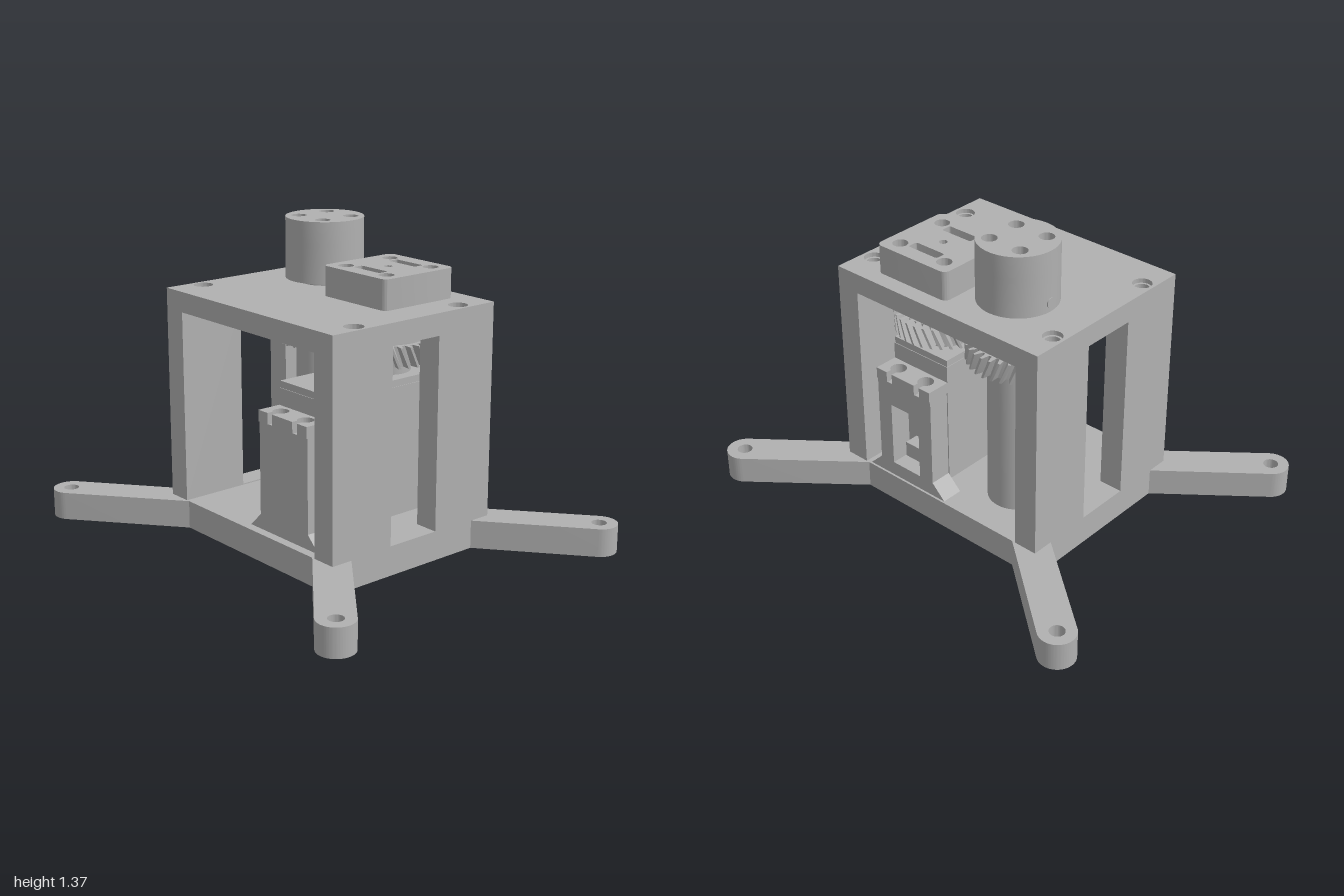
import * as THREE from 'three';
import { toCreasedNormals } from 'three/addons/utils/BufferGeometryUtils.js';

const AXLE_Z = -0.17, ROLLER_X = -0.215, SERVO_X = 0.195;

export function createModel() {
  const model = new THREE.Group();
  model.name = 'gearedTurntableStand';
  const grey = new THREE.MeshStandardMaterial({ color: 0xb0b0b0 });
  grey.name = 'plain grey';

  function add(name, geometry, x = 0, y = 0, z = 0, parent = model) {
    const mesh = new THREE.Mesh(toCreasedNormals(geometry, 0.6), grey);
    mesh.name = name;
    mesh.position.set(x, y, z);
    parent.add(mesh);
    return mesh;
  }
  const box = (w, h, d) => new THREE.BoxGeometry(w, h, d);
  const extrude = (shape, depth, steps = 1) =>
    new THREE.ExtrudeGeometry(shape, { depth, steps, bevelEnabled: false, curveSegments: 24 });
  // Lay a plan shape flat: shape y becomes -z, thickness rises along y
  const slab = (shape, height, steps) => extrude(shape, height, steps).rotateX(-Math.PI / 2);
  const lathe = (pts) => new THREE.LatheGeometry(pts.map(([r, y]) => new THREE.Vector2(r, y)), 48);

  function circle(x, y, r) {
    return new THREE.Path().absarc(x, y, r, 0, Math.PI * 2);
  }
  function roundRect(cx, cy, w, h, r) {
    const s = new THREE.Shape(), a = w / 2 - r, b = h / 2 - r, q = Math.PI / 2;
    [[a, b], [-a, b], [-a, -b], [a, -b]].forEach(([x, y], i) =>
      s.absarc(cx + x, cy + y, r, i * q, (i + 1) * q));
    s.closePath();
    return s;
  }
  function rect(x0, y0, x1, y1) {
    const corners = [[x0, y0], [x1, y0], [x1, y1], [x0, y1]];
    return new THREE.Shape(corners.map(([x, y]) => new THREE.Vector2(x, y)));
  }
  const cornerHoles = (r) => [[1, 1], [-1, 1], [-1, -1], [1, -1]]
    .map(([sx, sy]) => circle(sx * 0.495, sy * 0.285, r));

  // Base plate with four round-ended diagonal arms
  const base = new THREE.Shape();
  const A = Math.atan2(0.74, 0.92), reach = Math.hypot(0.92, 0.74);
  const edges = [
    [[0.425, 0.44], [-0.425, 0.44]], [[-0.55, 0.34], [-0.55, -0.34]],
    [[-0.425, -0.44], [0.425, -0.44]], [[0.55, -0.34], [0.55, 0.34]],
  ];
  [A, Math.PI - A, Math.PI + A, -A].forEach((a, i) => {
    const x = Math.cos(a) * reach, y = Math.sin(a) * reach;
    base.absarc(x, y, 0.08, a - Math.PI / 2, a + Math.PI / 2);
    edges[i].forEach(([ex, ey]) => base.lineTo(ex, ey));
    base.holes.push(circle(x, y, 0.033));
  });
  base.closePath();
  base.holes.push(...cornerHoles(0.042), circle(ROLLER_X, -AXLE_Z, 0.1));
  add('basePlate', slab(base, 0.125), 0, 0.01, 0);

  // Side walls with tall windows
  for (const [name, x] of [['rightWall', -0.55], ['leftWall', 0.44]]) {
    const wall = rect(-0.44, 0.135, 0.44, 0.99);
    wall.holes.push(rect(-0.127, 0.14, 0.127, 0.985));
    add(name, extrude(wall, 0.11).rotateY(Math.PI / 2), x);
  }

  // Openings shared by the top plate and the bearing block
  const blockHoles = () => {
    const holes = [circle(SERVO_X, -AXLE_Z, 0.018)];
    for (const s of [-1, 1]) {
      holes.push(roundRect(SERVO_X, -AXLE_Z + s * 0.1, 0.16, 0.047, 0.01));
      for (const t of [-1, 1]) holes.push(circle(SERVO_X + s * 0.125, -AXLE_Z + t * 0.125, 0.033));
    }
    return holes;
  };

  // Top plate in two layers, giving counterbored corner holes
  for (const [name, y, h, r] of [['topPlate', 0.99, 0.07, 0.032], ['topPlateFace', 1.06, 0.02, 0.042]]) {
    const plate = rect(-0.55, -0.44, 0.55, 0.44);
    plate.holes.push(...cornerHoles(r), ...blockHoles());
    add(name, slab(plate, h), 0, y, 0);
  }
  const block = roundRect(SERVO_X, -AXLE_Z, 0.39, 0.39, 0.03);
  block.holes.push(...blockHoles());
  add('bearingBlock', slab(block, 0.13), 0, 1.08, 0);

  // Roller column with its stepped shaft
  add('roller', lathe([
    [0, 0], [0.01, 0], [0.01, 0.06], [0.1, 0.06], [0.1, 0.135], [0.127, 0.135],
    [0.127, 0.965], [0.12, 0.975], [0.09, 0.975], [0.09, 1.08], [0.105, 1.08], [0.105, 1.1],
  ]), ROLLER_X, 0, AXLE_Z);

  // Output drum with four blind holes
  add('drumBody', new THREE.CylinderGeometry(0.172, 0.172, 0.17, 48), ROLLER_X, 1.185, AXLE_Z);
  const drumTop = new THREE.Shape().absarc(0, 0, 0.172, 0, Math.PI * 2);
  for (const s of [-1, 1]) for (const t of [-1, 1]) drumTop.holes.push(circle(s * 0.08, t * 0.08, 0.033));
  add('drumTop', slab(drumTop, 0.1), ROLLER_X, 1.27, AXLE_Z);

  // Set screws on the drum and the roller hub
  const screw = (r) => new THREE.CylinderGeometry(r, r, 0.02, 16).rotateZ(Math.PI / 2);
  add('drumSetScrew', screw(0.022), ROLLER_X - 0.165, 1.14, AXLE_Z);
  add('hubSetScrew', screw(0.02).rotateY(Math.PI / 4), ROLLER_X - 0.085, 0.94, AXLE_Z + 0.085);

  // Pair of meshing helical gears of opposite hand
  function helicalGear(hand, phase) {
    const teeth = 32, pitch = Math.PI * 2 / teeth, pts = [];
    for (let i = 0; i < teeth; i++) {
      for (const [f, r] of [[-0.32, 0.18], [-0.13, 0.217], [0.13, 0.217], [0.32, 0.18]]) {
        const a = (i + f + phase) * pitch;
        pts.push(new THREE.Vector2(Math.cos(a) * r, Math.sin(a) * r));
      }
    }
    const geo = slab(new THREE.Shape(pts), 0.09, 4), p = geo.attributes.position;
    const v = new THREE.Vector3(), up = new THREE.Vector3(0, 1, 0);
    for (let i = 0; i < p.count; i++) {
      v.fromBufferAttribute(p, i);
      v.applyAxisAngle(up, hand * v.y * 1.9);
      p.setXYZ(i, v.x, v.y, v.z);
    }
    geo.computeVertexNormals();
    return geo;
  }
  add('rollerGear', helicalGear(1, 0), ROLLER_X, 0.82, AXLE_Z);
  add('servoGear', helicalGear(-1, 0.5), SERVO_X, 0.82, AXLE_Z);
  add('servoGearHub', lathe([
    [0, 0.765], [0.1, 0.765], [0.1, 0.8], [0.06, 0.8], [0.06, 0.86], [0.163, 0.86],
    [0.163, 0.925], [0.15, 0.935], [0.068, 0.97], [0.035, 0.975], [0.035, 1.0], [0, 1.0],
  ]), SERVO_X, 0, AXLE_Z);

  // Servo motor body, lid and cable stub
  const servo = new THREE.Group();
  servo.name = 'servo';
  servo.position.x = SERVO_X;
  model.add(servo);
  add('servoBody', box(0.31, 0.57, 0.62), 0, 0.45, -0.015, servo);
  add('servoLid', box(0.304, 0.03, 0.614), 0, 0.75, -0.015, servo);
  add('servoCable', box(0.08, 0.07, 0.07), 0, 0.27, -0.355, servo);

  // Servo mounting ears with keyhole slots, on flared brackets
  const ear = new THREE.Shape();
  const phi = Math.asin(0.015 / 0.035);
  ear.moveTo(-0.155, 0).lineTo(0.155, 0).lineTo(0.155, 0.11);
  for (const c of [0.08, -0.08]) {
    ear.lineTo(c + 0.015, 0.11);
    ear.absarc(c, 0.052, 0.035, Math.PI / 2 - phi, Math.PI / 2 + phi, true);
    ear.lineTo(c - 0.015, 0.11);
  }
  ear.lineTo(-0.155, 0.11).closePath();
  add('backEar', slab(ear, 0.05), 0, 0.61, -0.325, servo);
  add('frontEar', slab(ear, 0.05).rotateY(Math.PI), 0, 0.61, 0.295, servo);

  for (const [name, z] of [['frontBracket', 0.3], ['backBracket', -0.43]]) {
    const half = [[0.222, 0.135], [0.155, 0.2], [0.155, 0.61]];
    const outline = [...half, ...half.map(([x, y]) => [-x, y]).reverse()];
    const bracket = new THREE.Shape(outline.map(([x, y]) => new THREE.Vector2(x, y)));
    if (z < 0) bracket.holes.push(rect(-0.08, 0.2, 0.08, 0.5));
    add(name, extrude(bracket, 0.1), 0, 0, z, servo);
  }
  return model;
}
